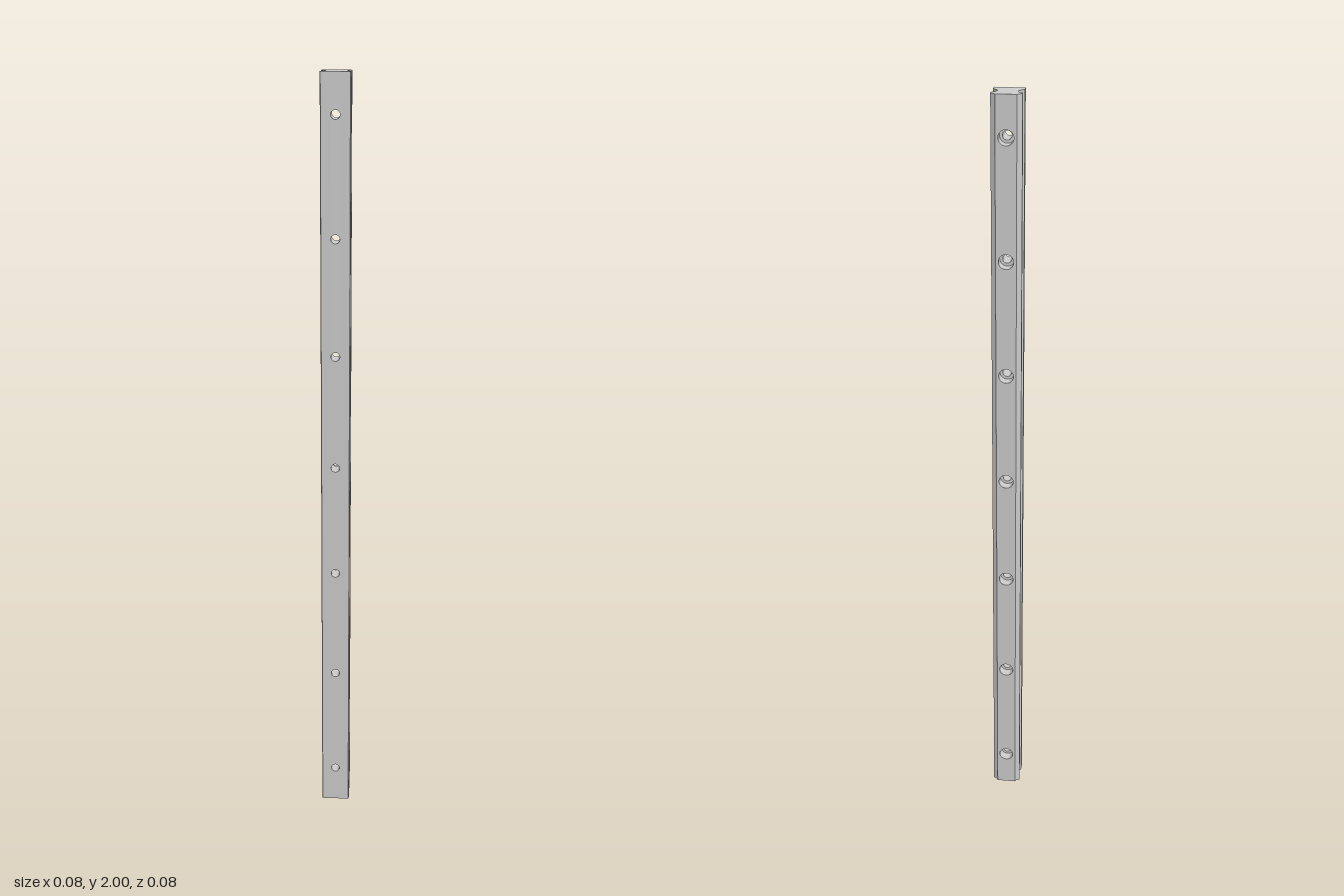
import * as THREE from 'three';
import { toCreasedNormals } from 'three/addons/utils/BufferGeometryUtils.js';

const LENGTH = 2, H = 0.0375;            // rail length, half depth
const BORE = 0.01125, COUNTERBORE = 0.01875, SINK = 0.0265;
const HOLES = Array.from({ length: 7 }, (_, i) => 0.1 + 0.3 * i);
const SEGMENTS = 32;

// One flank of the cross-section as [x, z], from back to front
const FLANK = [
  [0.0255, -H], [0.028, -0.0325], [0.0375, -0.027], [0.0375, -0.018],
  [0.028, -0.012], [0.0245, -0.003], [0.0245, 0.004],
  [0.0375, 0.019], [0.0375, 0.036], [0.036, H],
];

export function createModel() {
  const rail = new THREE.Group();
  rail.name = 'guideRail';
  const material = new THREE.MeshStandardMaterial({ color: 0xcccccc });
  const add = (name, geometry) => {
    const mesh = new THREE.Mesh(geometry, material);
    mesh.name = name;
    rail.add(mesh);
    return mesh;
  };

  // Grooved flanks: one flat strip per profile edge
  const flank = (name, points) => {
    const pos = [];
    for (let i = 0; i < points.length - 1; i++) {
      const [ax, az] = points[i], [bx, bz] = points[i + 1];
      pos.push(ax, 0, az, ax, LENGTH, az, bx, LENGTH, bz);
      pos.push(ax, 0, az, bx, LENGTH, bz, bx, 0, bz);
    }
    const g = new THREE.BufferGeometry();
    g.setAttribute('position', new THREE.Float32BufferAttribute(pos, 3));
    g.computeVertexNormals();
    add(name, g);
  };
  const mirrored = FLANK.map(([x, z]) => [-x, z]).reverse();
  flank('leftFlank', FLANK);
  flank('rightFlank', mirrored);

  // End faces
  const section = (sign) => new THREE.ShapeGeometry(new THREE.Shape(
    [...FLANK, ...mirrored].map(([x, z]) => new THREE.Vector2(x, sign * z))));
  add('topEnd', section(-1).rotateX(-Math.PI / 2).translate(0, LENGTH, 0));
  add('bottomEnd', section(1).rotateX(Math.PI / 2));

  // Front and back faces, pierced by the bolt holes
  const face = (halfWidth, radius) => {
    const shape = new THREE.Shape([
      [-halfWidth, 0], [halfWidth, 0], [halfWidth, LENGTH], [-halfWidth, LENGTH],
    ].map(([x, y]) => new THREE.Vector2(x, y)));
    for (const y of HOLES) {
      shape.holes.push(new THREE.Path().absarc(0, y, radius, 0, Math.PI * 2, true));
    }
    return new THREE.ShapeGeometry(shape, SEGMENTS);
  };
  add('frontFace', face(FLANK[FLANK.length - 1][0], BORE).translate(0, 0, H));
  add('backFace', face(FLANK[0][0], COUNTERBORE).rotateY(Math.PI).translate(0, 0, -H));

  // Counterbored bolt holes, wide end at the back
  const profile = [
    [BORE, H], [BORE, SINK - H], [COUNTERBORE, SINK - H], [COUNTERBORE, -H],
  ].map(([r, y]) => new THREE.Vector2(r, y));
  const bore = toCreasedNormals(
    new THREE.LatheGeometry(profile, SEGMENTS).rotateX(Math.PI / 2), Math.PI / 5);
  HOLES.forEach((y, i) => { add(`boltHole${i + 1}`, bore).position.y = y; });

  return rail;
}
